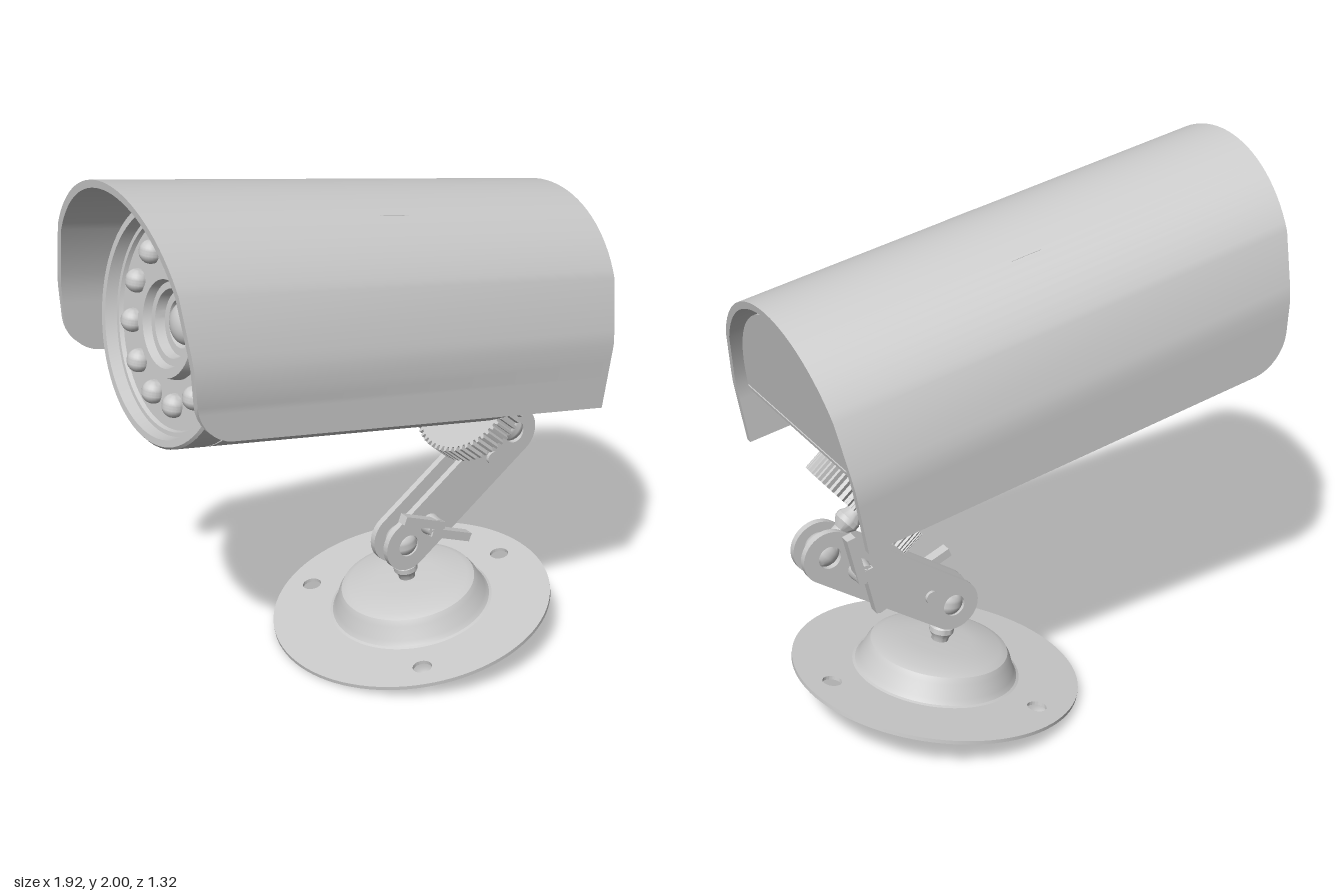
import * as THREE from 'three';
import { toCreasedNormals } from 'three/addons/utils/BufferGeometryUtils.js';

const grey = new THREE.MeshStandardMaterial({ color: 0xcccccc, side: THREE.DoubleSide });
const V = (x, y) => new THREE.Vector2(x, y);
const rad = THREE.MathUtils.degToRad;

function add(parent, name, geometry, x = 0, y = 0, z = 0) {
  const mesh = new THREE.Mesh(toCreasedNormals(geometry, 0.5), grey);
  mesh.name = name;
  mesh.position.set(x, y, z);
  parent.add(mesh);
  return mesh;
}

function addGroup(parent, name, x, y, angle) {
  const g = new THREE.Group();
  g.name = name;
  g.position.set(x, y, 0);
  g.rotation.z = angle;
  parent.add(g);
  return g;
}

const lathe = (pts, n = 64) => new THREE.LatheGeometry(pts.map(p => V(...p)), n);
const extrude = (shape, depth, curveSegments = 24) =>
  new THREE.ExtrudeGeometry(shape, { depth, bevelEnabled: false, curveSegments });
const circleHole = (x, y, r) => new THREE.Path().absarc(x, y, r, 0, Math.PI * 2, true);

// Move vertices by a rule
function warp(geometry, rule) {
  const p = geometry.attributes.position;
  for (let i = 0; i < p.count; i++) p.setX(i, rule(p.getX(i), p.getY(i)));
  return geometry;
}

// Arched sun shield: arc on top, flared straight sides, slanted and rounded front edge
function shieldGeometry() {
  const side = inset => {
    const r = 0.48 - inset, pts = [];
    const end = Math.asin(0.42 / 0.48);
    for (let i = 0; i <= 16; i++) {
      const a = end * i / 16;
      pts.push(V(r * Math.sin(a), r * Math.cos(a)));
    }
    pts.push(V(r - 0.01, 0.05), V(r, 0.0), V(r, -0.06));
    for (let i = 0; i <= 8; i++) pts.push(V(r, -0.12 - 0.12 * Math.sin(i / 8 * Math.PI / 2)));
    return pts;
  };
  const full = inset => {
    const s = side(inset);
    return [...s.slice(1).reverse().map(p => V(-p.x, p.y)), ...s];
  };
  const shape = new THREE.Shape([...full(0), ...full(0.026).reverse()]);
  const g = extrude(shape, 1).rotateY(Math.PI / 2);
  return warp(g, (t, y) => {
    const d = Math.min(0.12, Math.max(0, -0.12 - y));
    const front = -0.874 - 0.23 * y + 0.12 - Math.sqrt(0.0144 - d * d);
    return front + (0.874 - front) * t;
  });
}

// Ball joint: collar, thin neck and ball, rising along +y from the origin
function addJoint(parent, y, length) {
  const g = addGroup(parent, 'ballJoint', 0, y, 0);
  add(g, 'jointNeck', lathe([[0.03, -0.01], [0.033, 0.015], [0.046, 0.035], [0.046, 0.055],
    [0.024, 0.085], [0.024, length]], 32));
  add(g, 'jointBall', new THREE.SphereGeometry(0.062, 32, 20), 0, length, 0);
}

// Clamp bolt through the arm with a two-winged nut on one side
function addClamp(arm, s, dir, angle) {
  const g = addGroup(arm, 'clampBolt', s, 0, angle);
  add(g, 'boltShaft', new THREE.CylinderGeometry(0.025, 0.025, 0.18, 24).rotateX(Math.PI / 2), 0, 0, dir * 0.022);
  add(g, 'wingNutHub', new THREE.CylinderGeometry(0.036, 0.042, 0.05, 24).rotateX(dir * Math.PI / 2), 0, 0, dir * 0.08);
  for (const k of [-1, 1]) {
    add(g, 'wingNutLever', new THREE.BoxGeometry(0.19, 0.034, 0.04), k * 0.075, -k * 0.016, dir * 0.093);
  }
}

export function createModel() {
  const root = new THREE.Group();
  root.name = 'securityCamera';
  root.rotation.y = -rad(12.7);

  // Wall base: tilted flange with three screw holes and a raised hub
  const base = addGroup(root, 'base', 0.307, 0.096, rad(10.2));
  const flange = new THREE.Shape().absarc(0, 0, 0.54, 0, Math.PI * 2);
  for (let i = 0; i < 3; i++) {
    const a = i * Math.PI * 2 / 3;
    flange.holes.push(circleHole(0.435 * Math.cos(a), 0.435 * Math.sin(a), 0.036));
  }
  add(base, 'baseFlange', extrude(flange, 0.014, 48).rotateX(-Math.PI / 2));
  add(base, 'baseHub', lathe([[0.32, 0.012], [0.305, 0.018], [0.292, 0.035], [0.272, 0.085],
    [0.258, 0.106], [0.232, 0.118], [0.12, 0.126], [0, 0.128]]));
  addJoint(base, 0.128, 0.165);

  // Arm: two slotted plates gripping both balls
  const L = 0.604, R = 0.1;
  const arm = addGroup(root, 'arm', 0.252, 0.385, Math.atan2(0.35, 0.492));
  const plate = new THREE.Shape();
  plate.absarc(0, 0, R, Math.PI / 2, Math.PI * 1.5, false);
  plate.absarc(L, 0, R, -Math.PI / 2, Math.PI / 2, false);
  plate.holes.push(circleHole(0, 0, 0.043), circleHole(L, 0, 0.043));
  for (const z of [-0.055, 0.03]) add(arm, 'armPlate', extrude(plate, 0.025), 0, 0, z);
  addClamp(arm, 0.117, 1, rad(-57));
  addClamp(arm, 0.47, -1, rad(42));

  // Camera head, axis along x with the lens at -x
  const head = addGroup(root, 'cameraHead', -0.02, 1.363, -rad(9.6));
  add(head, 'sunShield', shieldGeometry());

  // Body with the lower half of its back cut off at a slant
  const body = new THREE.CylinderGeometry(0.42, 0.42, 1.44, 96).rotateZ(-Math.PI / 2).translate(0.12, 0, 0);
  add(head, 'body', warp(body, (x, y) => x > 0 ? x + Math.min(0, y) * 0.595 : x));
  add(head, 'backSeam', new THREE.BoxGeometry(0.012, 0.012, 0.83), 0.838, 0, 0);
  for (const z of [-0.2, 0.2]) {
    add(head, 'shieldMount', new THREE.BoxGeometry(0.12, 0.06, 0.05), 0, 0.395, z);
  }

  // Front bezel, recessed face and stepped lens ring
  const face = lathe([[0.405, 0.595], [0.42, 0.608], [0.42, 0.722], [0.412, 0.732], [0.388, 0.732],
    [0.38, 0.69], [0.365, 0.69], [0.36, 0.675], [0.19, 0.675], [0.182, 0.715], [0.15, 0.715],
    [0.142, 0.685], [0.118, 0.685], [0.112, 0.65], [0.085, 0.65], [0.08, 0.625], [0, 0.625]], 72);
  add(head, 'frontBezel', face.rotateZ(Math.PI / 2));
  const lens = new THREE.SphereGeometry(0.075, 32, 16).scale(0.7, 1, 1);
  add(head, 'lens', lens, -0.63, 0, 0);
  for (let i = 0; i < 12; i++) {
    const a = (i + 0.5) * Math.PI / 6;
    add(head, 'infraredLamp', new THREE.SphereGeometry(0.042, 20, 14), -0.685,
      0.275 * Math.cos(a), 0.275 * Math.sin(a));
  }

  // Toothed swivel wheel on the slanted cut
  const wheel = addGroup(head, 'swivelWheel', 0.672, -0.37, Math.atan2(-0.859, -0.511));
  const teeth = 56, rim = [];
  for (let i = 0; i < teeth; i++) {
    [[0, 0.215], [0.15, 0.232], [0.5, 0.232], [0.65, 0.215]].forEach(([f, r]) => {
      const a = (i + f) * Math.PI * 2 / teeth;
      rim.push(V(r * Math.cos(a), r * Math.sin(a)));
    });
  }
  add(wheel, 'toothedWheel', extrude(new THREE.Shape(rim), 0.09).rotateX(-Math.PI / 2), 0, -0.05, 0);
  addJoint(wheel, 0.04, 0.18);

  const model = new THREE.Group();
  model.add(root);
  return model;
}
